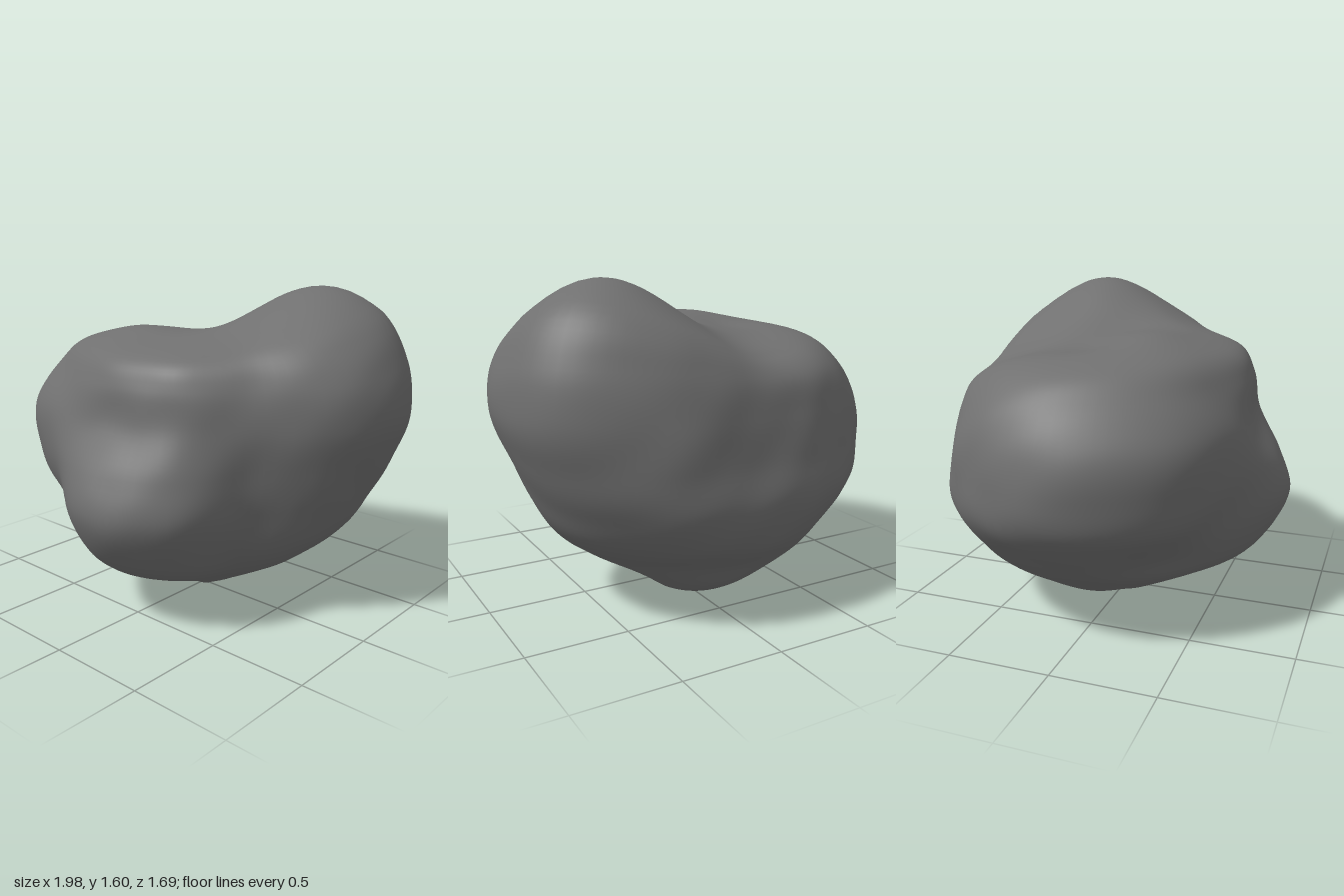
import * as THREE from 'three';
import { mergeVertices } from 'three/addons/utils/BufferGeometryUtils.js';

// Cross-sections of the boulder: [height, radius every 30 degrees from +x towards +z]
const BODY = [
  [0.03, 0.1, 0.09, 0.08, 0.08, 0.1, 0.14, 0.18, 0.26, 0.32, 0.34, 0.26, 0.15],
  [0.12, 0.28, 0.25, 0.27, 0.29, 0.3, 0.33, 0.34, 0.43, 0.5, 0.5, 0.41, 0.32],
  [0.25, 0.51, 0.44, 0.54, 0.6, 0.54, 0.53, 0.57, 0.64, 0.67, 0.61, 0.56, 0.53],
  [0.4, 0.68, 0.56, 0.69, 0.76, 0.66, 0.65, 0.76, 0.8, 0.79, 0.77, 0.75, 0.74],
  [0.6, 0.79, 0.64, 0.8, 0.85, 0.74, 0.85, 0.95, 0.95, 0.88, 0.84, 0.88, 0.88],
  [0.8, 0.88, 0.68, 0.77, 0.8, 0.78, 0.91, 0.99, 0.97, 0.86, 0.82, 0.91, 0.97],
  [1.0, 0.95, 0.71, 0.7, 0.68, 0.76, 0.9, 0.96, 0.94, 0.82, 0.8, 0.91, 1.04],
  [1.18, 0.93, 0.69, 0.67, 0.65, 0.67, 0.78, 0.85, 0.84, 0.76, 0.75, 0.87, 1.0],
  [1.3, 0.79, 0.6, 0.59, 0.57, 0.57, 0.64, 0.69, 0.68, 0.61, 0.63, 0.76, 0.87],
  [1.36, 0.44, 0.36, 0.36, 0.35, 0.36, 0.39, 0.41, 0.4, 0.38, 0.39, 0.44, 0.48],
];
const shrink = (row, y, f) => [y, ...row.slice(1).map((r) => r * f)];
const SECTIONS = [
  shrink(BODY[0], 0, 0),
  shrink(BODY[0], 0.008, 0.55),
  ...BODY,
  shrink(BODY[9], 1.375, 0.5),
  shrink(BODY[9], 1.378, 0),
];
const AROUND = 96;
const STEPS = 7;

const spline = (a, b, c, d, t) =>
  b + 0.5 * t * (c - a + t * (2 * a - 5 * b + 4 * c - d + t * (3 * (b - c) + d - a)));

const bump = (x, z, cx, cz, size) =>
  Math.exp(-((x - cx) ** 2 + (z - cz) ** 2) / (size * size));

// Radius of a section at any angle (u runs 0..1 round the rock)
function radiusAt(row, u) {
  const s = u * 12, i = Math.floor(s);
  const r = (k) => row[1 + ((i + k + 12) % 12)];
  return spline(r(-1), r(0), r(1), r(2), s - i);
}

// Raise the peak and front lump, hollow the top and back, roughen the surface a little
function weather(x, y, z) {
  const top = Math.min(1, Math.max(0, (y - 0.8) / 0.5)) ** 2;
  y += top * (0.255 * bump(x, z, 0.54, -0.31, 0.42)
    + 0.03 * bump(x, z, -0.25, 0.22, 0.25)
    - 0.04 * bump(x, z, -0.3, -0.06, 0.18)
    - 0.03 * bump(x, z, 0.05, -0.04, 0.18)
    - 0.08 * bump(x, z, -0.15, -0.5, 0.32));
  const rough = 1 + 0.006 * Math.sin(9 * x + 5 * y) * Math.sin(8 * z - 6 * y + 1)
    + 0.003 * Math.sin(19 * x - 13 * z) * Math.sin(17 * y + 2);
  return [x * rough, y, z * rough];
}

function createRockGeometry() {
  const positions = [];
  const index = [];
  const last = SECTIONS.length - 1;
  const row = (i) => SECTIONS[Math.min(last, Math.max(0, i))];
  const rings = last * STEPS + 1;

  // Rings blended between the sections
  for (let k = 0; k < rings; k++) {
    const i = Math.min(last - 1, Math.floor(k / STEPS));
    const t = k / STEPS - i;
    const near = [row(i - 1), row(i), row(i + 1), row(i + 2)];
    const y = spline(...near.map((n) => n[0]), t);
    for (let j = 0; j < AROUND; j++) {
      const u = j / AROUND, a = u * Math.PI * 2;
      const r = spline(...near.map((n) => radiusAt(n, u)), t);
      positions.push(...weather(r * Math.cos(a), y, r * Math.sin(a)));
    }
  }

  // Skin the rings; the end rings are points, so their inner triangles are left out
  for (let k = 0; k < rings - 1; k++) {
    for (let j = 0; j < AROUND; j++) {
      const a = k * AROUND + j, b = k * AROUND + ((j + 1) % AROUND);
      if (k > 0) index.push(a, a + AROUND, b);
      if (k < rings - 2) index.push(b, a + AROUND, b + AROUND);
    }
  }

  const geometry = new THREE.BufferGeometry();
  geometry.setAttribute('position', new THREE.Float32BufferAttribute(positions, 3));
  geometry.setIndex(index);
  const welded = mergeVertices(geometry, 1e-5);
  welded.computeVertexNormals();
  return welded;
}

export function createModel() {
  const group = new THREE.Group();
  group.name = 'boulder';
  const rock = new THREE.Mesh(
    createRockGeometry(),
    new THREE.MeshStandardMaterial({ color: 0x707070 }),
  );
  rock.name = 'rock';
  group.add(rock);
  return group;
}
